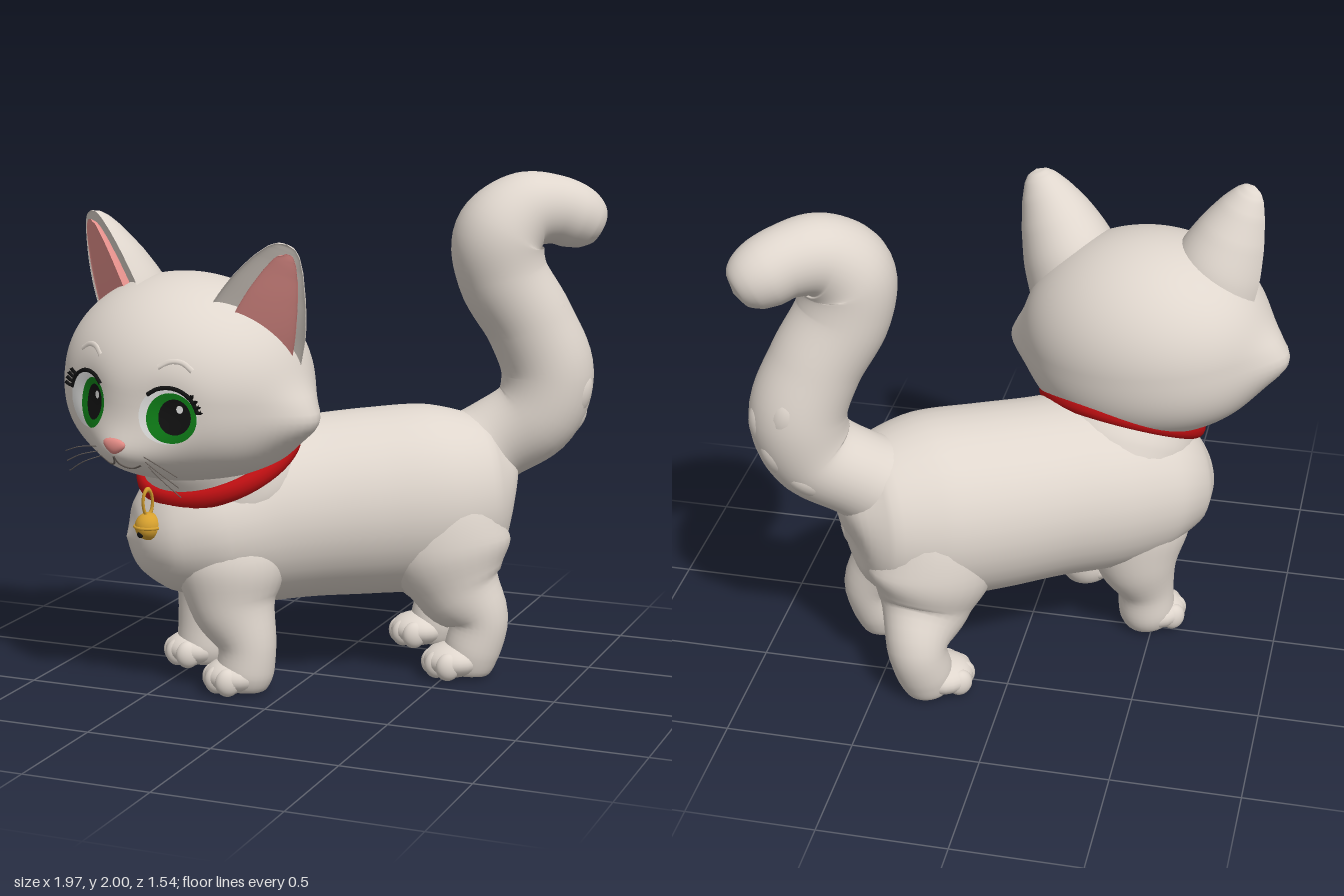
import * as THREE from 'three';
import { mergeVertices } from 'three/addons/utils/BufferGeometryUtils.js';

const V = (x, y, z) => new THREE.Vector3(x, y, z);
const paint = (name, color) => {
  const m = new THREE.MeshStandardMaterial({ color });
  m.name = name;
  return m;
};

export function createModel() {
  const fur = paint('fur', 0xdfd6cd);
  const earPink = paint('earPink', 0xe8938e);
  const nosePink = paint('nosePink', 0xe08a84);
  const red = paint('collarRed', 0xbe0f12);
  const gold = paint('bellGold', 0xd6a02e);
  const white = paint('eyeWhite', 0xfafaf8);
  const green = paint('irisGreen', 0x0f8018);
  const black = paint('black', 0x121212);
  const dark = paint('whiskerGrey', 0x6a625c);

  const model = new THREE.Group();
  model.name = 'kitten';
  const add = (parent, name, geo, mat, pos) => {
    const m = new THREE.Mesh(geo, mat);
    m.name = name;
    if (pos) m.position.copy(pos);
    parent.add(m);
    return m;
  };
  const group = (name, x, y, z) => {
    const g = new THREE.Group();
    g.name = name;
    g.position.set(x, y, z);
    model.add(g);
    return g;
  };
  const ball = (parent, name, mat, pos, rx, ry = rx, rz = rx) =>
    add(parent, name, new THREE.SphereGeometry(1, 24, 16).scale(rx, ry, rz), mat, pos);
  const line = (parent, name, mat, pts, r) =>
    add(parent, name, new THREE.TubeGeometry(new THREE.CatmullRomCurve3(pts), 12, r, 6), mat);

  // Smooth path of sections [x, y, z, radiusU, radiusV]
  const path = (pts) => ({
    c: new THREE.CatmullRomCurve3(pts.map((p) => V(p[0], p[1], p[2]))),
    r: new THREE.CatmullRomCurve3(pts.map((p, i) => V(p[3], p[4] ?? p[3], i * 0.1))),
  });
  // Skin over the sections; front scales the +v half (negative gives a cup)
  const loft = (pts, ref, front = 1, n = 56, m = 36) => {
    const { c, r } = path(pts);
    const pos = [], idx = [];
    for (let i = 0; i <= n; i++) {
      const o = c.getPoint(i / n), t = c.getTangent(i / n), rad = r.getPoint(i / n);
      const u = ref.clone().cross(t).normalize(), v = t.clone().cross(u);
      for (let j = 0; j < m; j++) {
        const a = (j / m) * Math.PI * 2, s = Math.sin(a);
        const p = o.clone().addScaledVector(u, Math.cos(a) * Math.max(rad.x, 0.001));
        p.addScaledVector(v, s * (s > 0 ? front : 1) * Math.max(rad.y, 0.001));
        pos.push(p.x, p.y, p.z);
        if (i < n) {
          const k = i * m + j, l = i * m + ((j + 1) % m);
          idx.push(k, l, k + m, l, l + m, k + m);
        }
      }
    }
    const g = new THREE.BufferGeometry();
    g.setAttribute('position', new THREE.Float32BufferAttribute(pos, 3));
    g.setIndex(idx);
    g.computeVertexNormals();
    return g;
  };

  // Torso, set diagonally
  const body = group('body', 0, 0, -0.08);
  body.rotation.y = -0.963;
  add(body, 'torso', loft([
    [0, 0.70, -0.79, 0, 0], [0, 0.71, -0.755, 0.17, 0.19], [0, 0.71, -0.66, 0.285, 0.31],
    [0, 0.70, -0.45, 0.35, 0.375], [-0.02, 0.69, -0.2, 0.355, 0.375], [-0.03, 0.68, 0.05, 0.35, 0.365],
    [-0.035, 0.67, 0.28, 0.365, 0.365], [-0.01, 0.645, 0.48, 0.365, 0.33], [0, 0.61, 0.65, 0.29, 0.232],
    [0, 0.6, 0.745, 0.16, 0.125], [0, 0.6, 0.785, 0, 0],
  ], V(0, 1, 0)), fur);

  // Legs and paws: [name, side offset, forward offset]
  const legs = [['frontLeft', 0.226, 0.37], ['frontRight', -0.187, 0.455],
    ['rearLeft', 0.215, -0.52], ['rearRight', -0.26, -0.51]];
  for (const [name, x, z] of legs) {
    const isFront = z > 0, sx = Math.sign(x);
    add(body, name + 'Leg', loft(isFront ? [
      [sx * 0.13, 0.8, 0.4, 0.03], [sx * 0.15, 0.7, 0.4, 0.13], [sx * 0.17, 0.52, 0.4, 0.18, 0.215],
      [sx * 0.19, 0.36, 0.395, 0.15, 0.175], [x, 0.2, z - 0.02, 0.116], [x, 0.08, z - 0.01, 0.112],
      [x, 0.02, z, 0.08], [x, 0.012, z, 0],
    ] : [
      [sx * 0.12, 0.86, -0.48, 0.03], [sx * 0.14, 0.74, -0.48, 0.18], [sx * 0.16, 0.53, -0.48, 0.205, 0.255],
      [sx * 0.185, 0.37, -0.52, 0.16, 0.185], [x, 0.24, z - 0.075, 0.118, 0.12], [x, 0.1, z - 0.045, 0.11],
      [x, 0.02, z - 0.03, 0.08], [x, 0.012, z - 0.03, 0],
    ], V(0, 0, 1), 1, 40, 28), fur);
    ball(body, name + 'Paw', fur, V(x, 0.078, z + 0.03), 0.116, 0.07, 0.12);
    for (const i of [-1.5, -0.5, 0.5, 1.5])
      ball(body, name + 'Toe', fur, V(x + i * 0.05, 0.068, z + 0.108 - i * i * 0.016), 0.038, 0.056, 0.05);
  }

  // Tail with soft fur tufts along its outer side
  const tailPts = [
    [0.42, 0.80, -0.40, 0.2], [0.59, 0.92, -0.49, 0.17], [0.745, 1.035, -0.54, 0.178], [0.785, 1.2, -0.56, 0.185],
    [0.72, 1.4, -0.52, 0.178], [0.62, 1.6, -0.46, 0.18], [0.61, 1.75, -0.45, 0.183], [0.69, 1.845, -0.51, 0.157],
    [0.79, 1.85, -0.59, 0.137], [0.86, 1.82, -0.645, 0.13], [0.91, 1.79, -0.68, 0.108],
    [0.94, 1.77, -0.7, 0.07], [0.953, 1.762, -0.708, 0],
  ];
  add(model, 'tail', loft(tailPts, V(0.6, 0, 0.8), 1, 96), fur);
  const tail = path(tailPts);
  for (let k = 0; k < 9; k++) {
    const t = 0.14 + k * 0.026, a = -0.64 + ((k * 3) % 5 - 2) * 0.4;
    const out = V(Math.cos(a), -0.3 + k * 0.04, Math.sin(a)).normalize();
    const up = tail.c.getTangent(t).addScaledVector(out, 0.25).normalize();
    const tuft = ball(model, 'tailTuft', fur,
      tail.c.getPoint(t).addScaledVector(out, tail.r.getPoint(t).x - 0.07), 0.075, 0.12, 0.075);
    tuft.quaternion.setFromUnitVectors(V(0, 1, 0), up);
  }

  // Neck, collar and bell
  const mid = V(-0.325, 0.925, 0.187), n = V(-0.16, 0.89, 0.43).normalize();
  const neckAt = (d, r) => [...mid.clone().addScaledVector(n, d).toArray(), r];
  add(model, 'neck', loft([neckAt(-0.42, 0.15), neckAt(-0.26, 0.31), neckAt(-0.1, 0.322), neckAt(0, 0.305),
    neckAt(0.1, 0.305), neckAt(0.2, 0.28)], V(0, 0, 1)), fur);
  const collar = add(model, 'collar', new THREE.TorusGeometry(0.312, 0.03, 14, 72).scale(1, 1, 1.35), red, mid);
  collar.quaternion.setFromUnitVectors(V(0, 0, 1), n);
  const bell = group('bell', -0.49, 0.68, 0.485);
  ball(bell, 'bellBody', gold, V(0, 0, 0), 0.054);
  add(bell, 'bellBand', new THREE.TorusGeometry(0.054, 0.006, 8, 32).rotateX(Math.PI / 2), gold);
  add(bell, 'bellRing', new THREE.TorusGeometry(0.042, 0.009, 8, 24).scale(0.5, 1.2, 1), gold, V(0, 0.095, 0.005))
    .rotation.y = 1;
  ball(bell, 'bellHole', black, V(-0.015, -0.026, 0.044), 0.013, 0.013, 0.006);

  // Head: ellipsoid with full jaw, muzzle, eye hollows and pointed cheeks
  const head = group('head', -0.4, 1.24, 0.28);
  head.rotation.set(0, -0.17, -0.09);
  const gauss = (a, b) => Math.exp(-a * a - b * b);
  const toHeight = (y) => (y > 0 ? 0.405 * y : -0.39 * (-y) ** 0.7);
  const toUnit = (h) => (h > 0 ? h / 0.405 : -((-h / 0.39) ** (1 / 0.7)));
  const faceZ = (x, y, z = Math.sqrt(Math.max(0, 1 - (x / 0.5) ** 2 - toUnit(y) ** 2))) =>
    0.455 * z + Math.min(1, z * 3) * (0.085 * gauss(x / 0.16, (y + 0.26) / 0.11)
      - 0.025 * gauss((Math.abs(x) - 0.18) / 0.09, (y + 0.04) / 0.1));
  let skull = new THREE.SphereGeometry(1, 96, 72);
  skull.deleteAttribute('uv');
  skull.deleteAttribute('normal');
  skull = mergeVertices(skull);
  const sp = skull.attributes.position;
  for (let i = 0; i < sp.count; i++) {
    const x = sp.getX(i), Y = toHeight(sp.getY(i)), z = sp.getZ(i);
    const cheek = 0.085 * x ** 5 * gauss((Y + 0.08) / 0.11, z / 0.35);
    sp.setXYZ(i, x * 0.5 + cheek, Y, z > 0 ? faceZ(x * 0.5, Y, z) : 0.43 * z);
  }
  skull.computeVertexNormals();
  add(head, 'skull', skull, fur);

  // Thin oval plate that follows the face
  const plate = (name, mat, cx, cy, rx, ry, lift) => {
    const g = new THREE.RingGeometry(0.001, 1, 40, 6);
    const p = g.attributes.position;
    for (let i = 0; i < p.count; i++) {
      const x = cx + p.getX(i) * rx, y = cy + p.getY(i) * ry;
      p.setXYZ(i, x, y, faceZ(x, y) + lift);
    }
    g.computeVertexNormals();
    add(head, name, g, mat);
  };
  const onFace = (x, y, lift = 0) => V(x, y, faceZ(x, y) + lift);

  for (const s of [1, -1]) {
    // Eyes glancing to the model's left, with lids, lashes and brows
    const ex = s * 0.185, ey = -0.06, near = s > 0;
    const look = near ? 0.014 : 0.036, wide = near ? 0.09 : 0.072;
    plate('eyeWhite', white, ex, ey, 0.105, 0.107, 0.004);
    plate('iris', green, ex + look, ey - 0.006, wide, 0.096, 0.007);
    plate('pupil', black, ex + look + 0.012, ey, wide * 0.66, 0.068, 0.010);
    plate('eyeGlint', white, ex + look + 0.03, ey + 0.032, 0.013, 0.015, 0.013);
    const rim = (a, k, lift) => onFace(ex + s * Math.cos(a) * 0.105 * k, ey + Math.sin(a) * 0.107 * k, lift);
    line(head, 'upperLid', black, [0.2, 0.65, 1.1, 1.55, 2.0, 2.4].map((a) => rim(a, 1.01, 0.004)), 0.008);
    for (const a of [0.25, 0.42, 0.6, 0.78])
      line(head, 'eyelash', black, [rim(a, 1, 0.005), rim(a - 0.02, 1.14, 0.014), rim(a + 0.03, 1.3, 0.03)], 0.0065);
    line(head, 'brow', fur, [0.13, 0.17, 0.21, 0.25].map((x, i) =>
      onFace(s * x, [0.115, 0.14, 0.14, 0.115][i], -0.008)), 0.013);

    // Mouth and whiskers
    line(head, 'mouth', dark, [onFace(0, -0.235), onFace(s * 0.012, -0.268), onFace(s * 0.05, -0.282),
      onFace(s * 0.092, -0.262)], 0.0045);
    for (const i of [0, 1, 2]) {
      const y = -0.225 - i * 0.022, a = onFace(s * 0.11, y);
      line(head, 'whisker', dark, [a, V(s * 0.18, y - 0.015 - i * 0.01, a.z + 0.01),
        V(s * 0.26, y - 0.05 - i * 0.02, a.z - 0.01)], 0.002);
    }

    // Cupped ear with pink lining inside a fur rim
    const ear = [[0.28, 0.15, 0.06, 0.2, 0.2], [0.325, 0.28, 0.09, 0.187, 0.2], [0.375, 0.41, 0.11, 0.147, 0.155],
      [0.415, 0.51, 0.12, 0.1, 0.1], [0.437, 0.565, 0.125, 0.064, 0.06], [0.445, 0.588, 0.126, 0.037, 0.034],
      [0.448, 0.598, 0.126, 0, 0]].map((p) => [p[0] * s + 0.02, ...p.slice(1)]);
    const facing = V(s * 0.45, 0, 0.9).normalize();
    add(head, 'ear', loft(ear, facing, -0.15, 36, 36), fur);
    const lining = ear.map((p) => [p[0] + s * p[3] * 0.1, p[1] - 0.035, p[2] - p[3] * 0.04, p[3] * 0.68, p[4] * 0.5]);
    add(head, 'earLining', loft(lining, facing, -0.1, 36, 36), earPink);
  }

  // Nose, wider at the top
  const nose = ball(head, 'nose', nosePink, onFace(0, -0.198, -0.004), 0.046, 0.03, 0.018);
  const np = nose.geometry.attributes.position;
  for (let i = 0; i < np.count; i++) np.setX(i, np.getX(i) * (1 + np.getY(i) * 14));
  nose.geometry.computeVertexNormals();

  return model;
}
